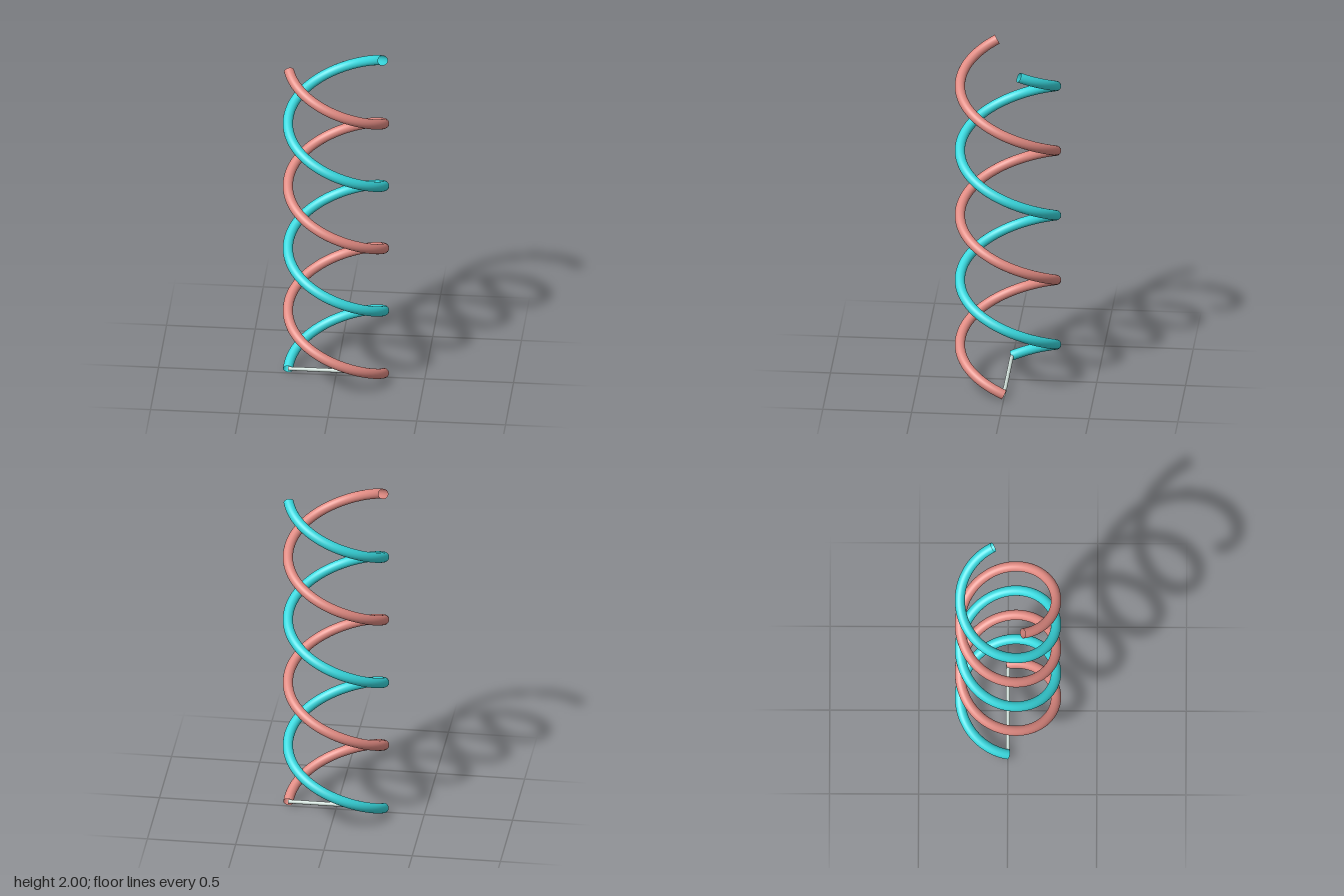
import * as THREE from 'three';

const RADIUS = 0.27, TUBE = 0.0285, TURNS = 2.45;
const Y0 = 0.026, Y1 = 1.974;

// Rising helix, starting at the given angle (0 = +x, turning towards +z)
class Helix extends THREE.Curve {
  constructor(start) {
    super();
    this.start = start;
  }
  getPoint(t, target = new THREE.Vector3()) {
    const a = this.start + t * TURNS * Math.PI * 2;
    return target.set(RADIUS * Math.cos(a), Y0 + (Y1 - Y0) * t, RADIUS * Math.sin(a));
  }
}

export function createModel() {
  const model = new THREE.Group();
  model.name = 'doubleHelix';

  const material = (name, color) => {
    const m = new THREE.MeshStandardMaterial({ color, side: THREE.DoubleSide });
    m.name = name;
    return m;
  };
  const add = (name, geometry, mat) => {
    const mesh = new THREE.Mesh(geometry, mat);
    mesh.name = name;
    model.add(mesh);
    return mesh;
  };

  // Two open-ended strands, half a turn apart
  const strand = (start) => new THREE.TubeGeometry(new Helix(start), 240, TUBE, 24, false);
  add('coralStrand', strand(0), material('coral', 0xe08a82));
  add('turquoiseStrand', strand(Math.PI), material('turquoise', 0x38d8de));

  // Thin rung joining the two lower ends
  const rung = add('rung', new THREE.CylinderGeometry(0.011, 0.011, RADIUS * 2, 16), material('paleGrey', 0xcfded8));
  rung.rotation.z = Math.PI / 2;
  rung.position.y = 0.029;

  return model;
}
